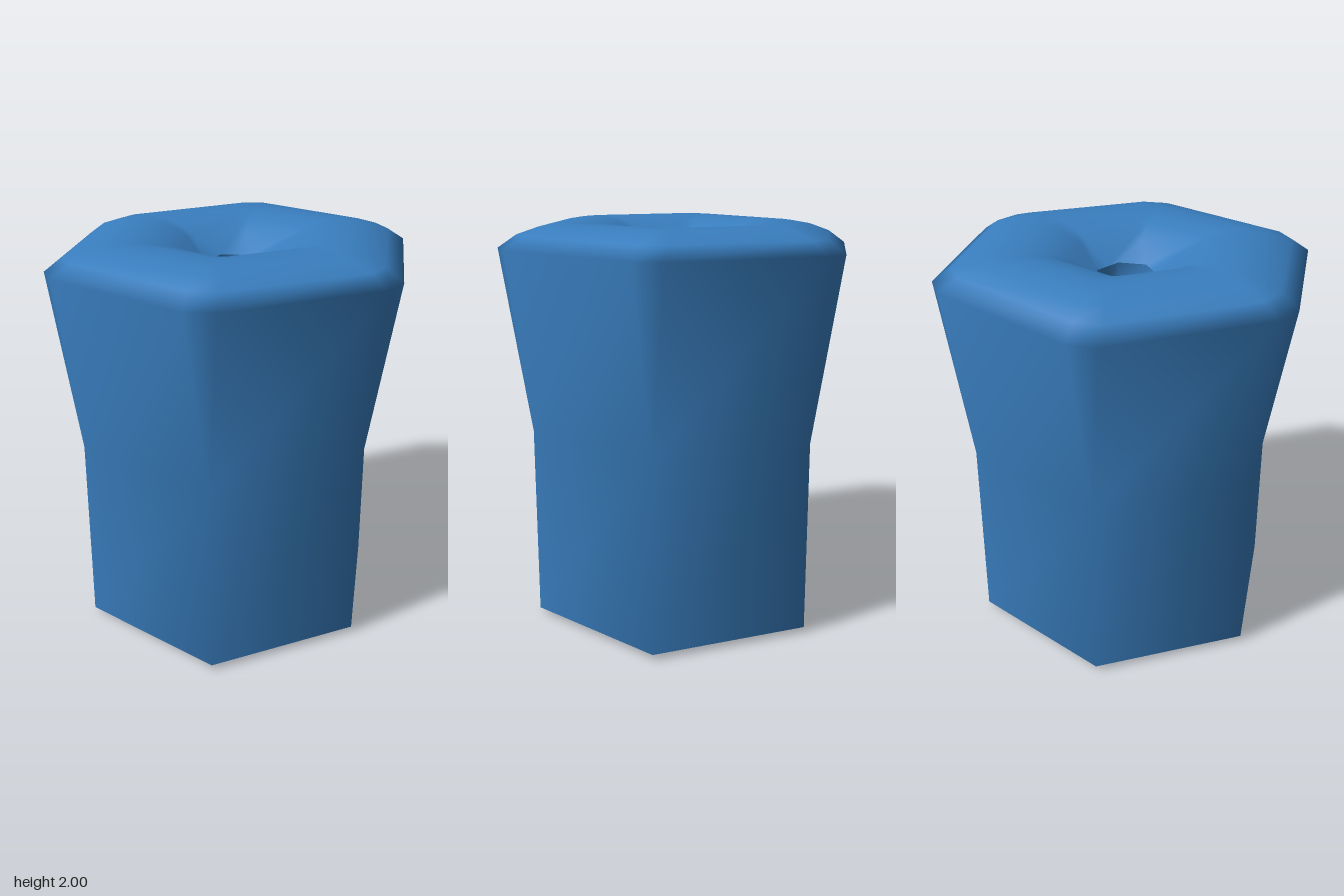
import * as THREE from 'three';
import { mergeVertices } from 'three/addons/utils/BufferGeometryUtils.js';

// Quarter outlines [x, z], going from the front corner to the side
const RIM = [[0.07, 0.9], [0.765, 0.51], [0.84, 0.385]];   // hexagon with cut corners
const HEX = [[0, 0.775], [0.69, 0.4], [0.69, 0.4]];        // plain hexagon
const PIT = [[0.07, 0.127], [0.11, 0.064], [0.15, 0]];     // small hexagon

// Mirror a quarter outline into a closed ring of 12 points at height y
function ring(quarter, scale, y) {
  const back = [...quarter].reverse().map(([x, z]) => [x, -z]);
  const half = [...quarter, ...back];
  const other = [...half].reverse().map(([x, z]) => [-x, z]);
  return [...half, ...other].map(([x, z]) => {
    const sz = z * scale;
    // the back of the rim sits slightly lower
    const drop = y > 1.86 ? 0.03 * Math.max(0, -sz - 0.3) : 0;
    return new THREE.Vector3(x * scale, y - drop, sz);
  });
}

// Skin rings listed from bottom to top, then inward
function loft(rings) {
  const pos = [];
  const tri = (a, b, c) => {
    const n = b.clone().sub(a).cross(c.clone().sub(a));
    if (n.lengthSq() > 1e-12) for (const p of [a, b, c]) pos.push(p.x, p.y, p.z);
  };
  for (let k = 0; k + 1 < rings.length; k++) {
    const lo = rings[k], hi = rings[k + 1];
    for (let i = 0; i < 12; i++) {
      const j = (i + 1) % 12;
      tri(lo[i], lo[j], hi[j]);
      tri(lo[i], hi[j], hi[i]);
    }
  }
  const raw = new THREE.BufferGeometry();
  raw.setAttribute('position', new THREE.Float32BufferAttribute(pos, 3));
  const geo = mergeVertices(raw, 1e-4);
  geo.computeVertexNormals();
  return geo;
}

export function createModel() {
  const group = new THREE.Group();
  const blue = new THREE.MeshStandardMaterial({ color: 0x397ebf, side: THREE.DoubleSide });
  blue.name = 'blue';

  // Hollow body, open below: turned-in foot, shaft, flared head, rounded rim and dip
  const body = new THREE.Mesh(loft([
    ring(HEX, 0.915, 0.005),
    ring(HEX, 1, 0.035),
    ring(HEX, 1, 0.99),
    ring(RIM, 1, 1.89),
    ring(RIM, 0.9, 1.95),
    ring(RIM, 0.78, 1.985),
    ring(RIM, 0.67, 2.0),
    ring(RIM, 0.54, 2.0),
    ring(RIM, 0.42, 1.98),
    ring(RIM, 0.3, 1.935),
    ring(PIT, 1, 1.85),
  ]), blue);
  body.name = 'body';

  // Short shaft below the dip and its flat floor
  const shaft = new THREE.Mesh(loft([ring(PIT, 1, 1.85), ring(PIT, 1, 1.77)]), blue);
  shaft.name = 'dipShaft';
  const floor = new THREE.Mesh(loft([ring(PIT, 1, 1.77), ring(PIT, 0, 1.77)]), blue);
  floor.name = 'dipFloor';

  group.add(body, shaft, floor);
  return group;
}
